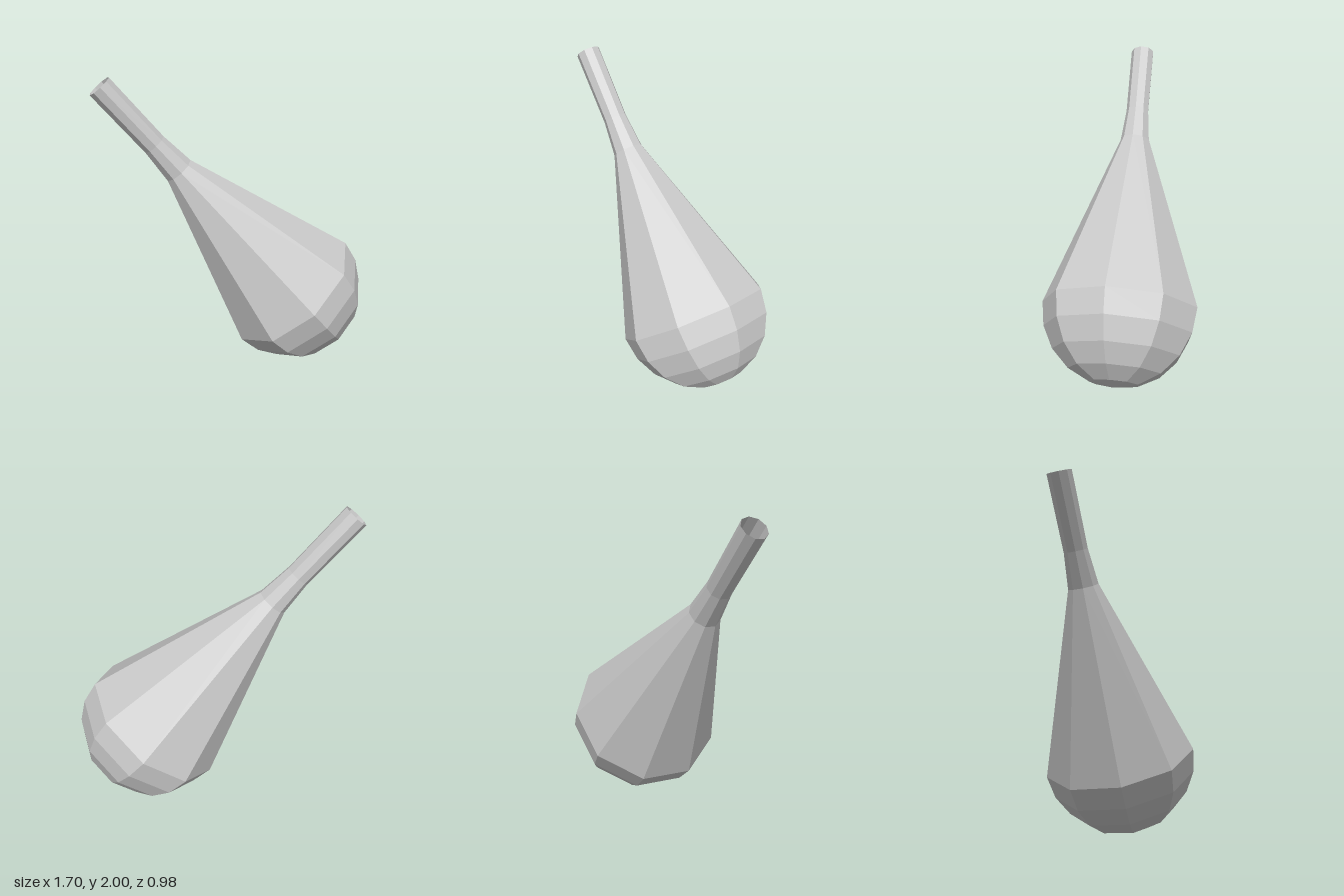
import * as THREE from 'three';

export function createModel() {
  const model = new THREE.Group();
  const material = new THREE.MeshStandardMaterial({
    color: 0xcccccc, flatShading: true, side: THREE.DoubleSide,
  });

  // Profile from the base pole: half a sphere, then a long taper and an open neck
  const sides = 9, bands = 5, radius = 0.5;
  const profile = [];
  for (let i = 0; i <= bands; i++) {
    const angle = (i / bands) * Math.PI / 2;
    profile.push(new THREE.Vector2(radius * Math.sin(angle), radius * (1 - Math.cos(angle))));
  }
  profile.push(
    new THREE.Vector2(0.1, 1.68),
    new THREE.Vector2(0.078, 1.91),
    new THREE.Vector2(0.08, 2.398),
  );

  const flask = new THREE.Mesh(
    new THREE.LatheGeometry(profile, sides, THREE.MathUtils.degToRad(5)), material);
  flask.name = 'flask';

  // Lean the flask along its axis, resting on the side of the bulb
  const up = new THREE.Vector3(-0.602, 0.769, -0.217).normalize();
  const level = new THREE.Vector3(up.z, 0, -up.x).normalize();
  const across = new THREE.Vector3().crossVectors(up, level);
  flask.quaternion.setFromRotationMatrix(new THREE.Matrix4().makeBasis(across, up, level));
  flask.position.set(0.66, 0.108, 0.11);

  model.add(flask);
  return model;
}
